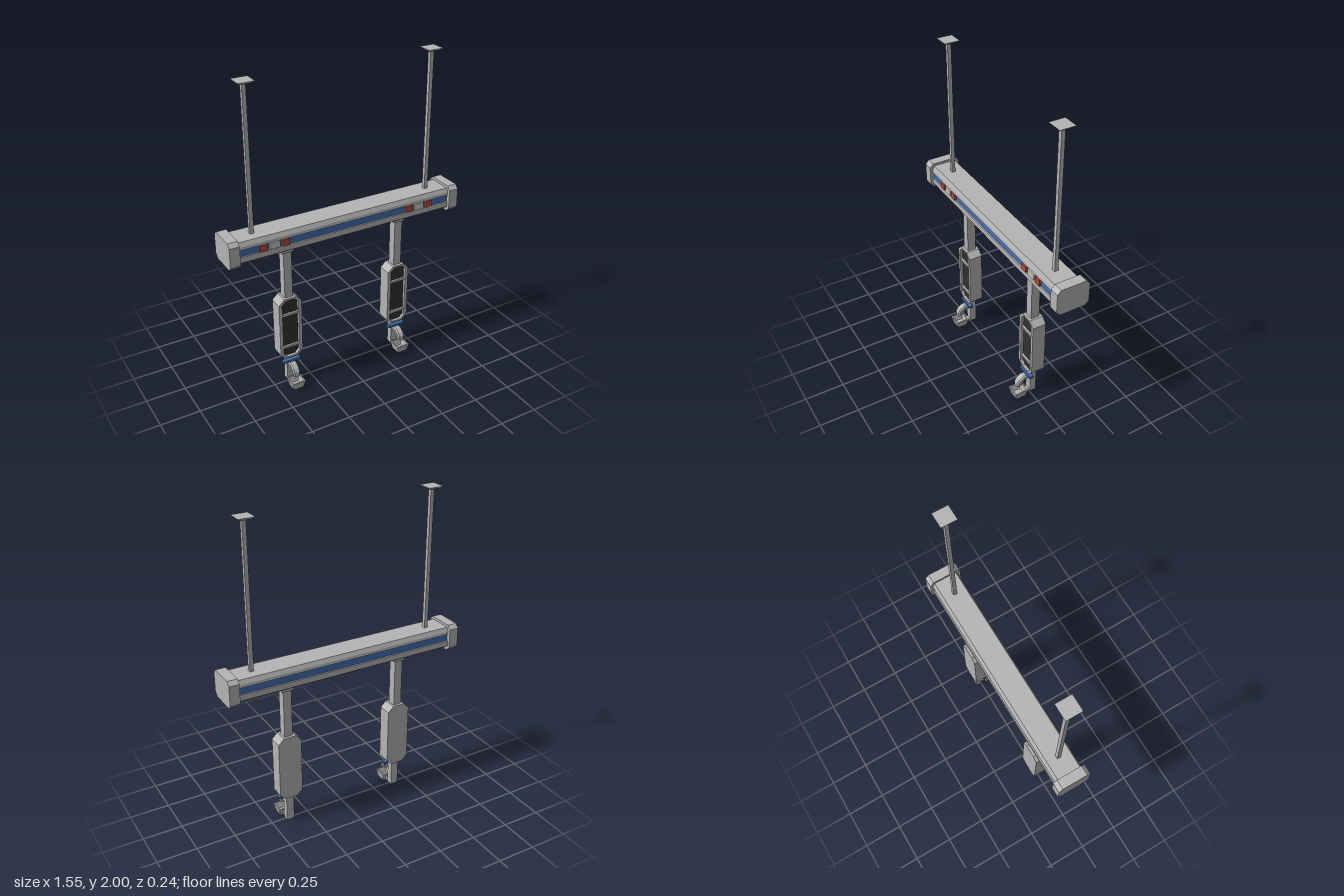
import * as THREE from 'three';

const paint = (name, color) => Object.assign(new THREE.MeshStandardMaterial({ color }), { name });
const Z0 = -0.016; // depth of the beam and pole centre line

export function createModel() {
  const grey = paint('grey metal', 0xb4b4b4);
  const light = paint('light grey', 0xcacac8);
  const blue = paint('blue', 0x416fb4);
  const red = paint('red', 0xb84c3c);
  const dark = paint('dark panel', 0x303030);

  const root = new THREE.Group();
  root.name = 'ceilingSupplyBeam';

  // Adds a mesh with faceted normals
  function add(parent, name, geometry, material, x = 0, y = 0, z = 0) {
    const g = geometry.index ? geometry.toNonIndexed() : geometry;
    g.computeVertexNormals();
    const mesh = new THREE.Mesh(g, material);
    mesh.name = name;
    mesh.position.set(x, y, z);
    parent.add(mesh);
    return mesh;
  }
  const box = (w, h, d) => new THREE.BoxGeometry(w, h, d);

  // Square frustum from half widths at top and bottom
  const frustum = (top, bottom, h) =>
    new THREE.CylinderGeometry(top * Math.SQRT2, bottom * Math.SQRT2, h, 4).rotateY(Math.PI / 4);

  const outline = (pts) => new THREE.Shape(pts.map(([x, y]) => new THREE.Vector2(x, y)));

  // Rectangle with cut corners, given half sizes
  const cutRect = (w, h, c) => [
    [w - c, -h], [w, -h + c], [w, h - c], [w - c, h],
    [-w + c, h], [-w, h - c], [-w, -h + c], [-w + c, -h],
  ];

  // Extrusion centred on its depth
  const slab = (shape, depth) =>
    new THREE.ExtrudeGeometry(shape, { depth, bevelEnabled: false }).translate(0, 0, -depth / 2);

  // Grooved beam, its profile running along x
  const half = [[0.074, 0.969], [0.088, 0.98], [0.088, 1.016], [0.077, 1.016],
    [0.077, 1.06], [0.088, 1.06], [0.086, 1.078], [0.074, 1.104]];
  const profile = [...half, ...half.map(([z, y]) => [-z, y]).reverse()];
  add(root, 'beam', slab(outline(profile), 1.43).rotateY(-Math.PI / 2), grey, 0, 0, Z0);
  for (const s of [1, -1]) {
    add(root, 'blueRail', box(1.428, 0.043, 0.006), blue, 0, 1.038, Z0 + s * 0.077);
  }

  for (const s of [1, -1]) {
    // End caps
    const cap = slab(outline(cutRect(0.105, 0.085, 0.024)), 0.063).rotateY(-Math.PI / 2);
    add(root, 'endCap', cap, grey, s * 0.744, 1.035, Z0);

    // Ceiling poles
    add(root, 'ceilingPole', box(0.024, 0.9, 0.024), grey, s * 0.595, 1.54, Z0);
    add(root, 'ceilingPlate', frustum(0.05, 0.034, 0.014), grey, s * 0.595, 1.993, Z0);

    // Sockets on the front rail
    for (const d of [-0.071, 0.071]) {
      add(root, 'redSocket', box(0.042, 0.041, 0.018), red, s * 0.4925 + d, 1.038, 0.07);
    }
    add(root, 'greySocket', box(0.066, 0.035, 0.016), light, s * 0.4925, 1.038, 0.069);

    root.add(makeArm(s * 0.387));
  }

  function makeArm(x) {
    const arm = new THREE.Group();
    arm.name = 'hangingArm';
    arm.position.x = x;

    add(arm, 'armMount', frustum(0.044, 0.036, 0.04), grey, 0, 0.951, Z0);
    add(arm, 'armShaft', box(0.053, 0.34, 0.057), grey, 0, 0.785, Z0);

    // Housing: solid back and a rim around the recessed panel
    add(arm, 'housingBack', slab(outline(cutRect(0.076, 0.216, 0.036)), 0.066), grey, 0, 0.408, -0.028);
    const rim = outline(cutRect(0.076, 0.216, 0.036));
    rim.holes.push(outline(cutRect(0.055, 0.203, 0.026)));
    add(arm, 'housingRim', slab(rim, 0.024), grey, 0, 0.408, 0.017);
    add(arm, 'darkPanel', slab(outline(cutRect(0.0545, 0.2025, 0.026)), 0.006), dark, 0, 0.408, 0.008);
    for (const y of [0.505, 0.274]) {
      add(arm, 'panelBar', box(0.11, 0.015, 0.016), grey, 0, y, 0.016);
    }

    // Lower bar with lever
    add(arm, 'lowerBar', box(0.05, 0.186, 0.042), grey, 0, 0.107, -0.017);
    add(arm, 'blueLever', box(0.116, 0.016, 0.027), blue, 0, 0.165, 0.015);

    // Bent spout, edges bevelled
    const spout = outline([
      [0, 0.126], [0.036, 0.126], [0.062, 0.104], [0.062, 0.083], [0.094, 0.083],
      [0.094, 0.116], [0.081, 0.137], [0.05, 0.157], [0, 0.157],
    ]);
    const bent = new THREE.ExtrudeGeometry(spout, {
      depth: 0.032, bevelEnabled: true, bevelSegments: 1,
      bevelSize: 0.008, bevelThickness: 0.008, bevelOffset: -0.008,
    }).translate(0, 0, -0.016).rotateY(-Math.PI / 2);
    add(arm, 'spout', bent, grey);

    // Open square cup on a short bracket
    add(arm, 'cupBracket', box(0.036, 0.02, 0.045), grey, 0, 0.019, 0.022);
    const cup = [[0, 0], [0.033, 0], [0.045, 0.051], [0.037, 0.051], [0.026, 0.012], [0, 0.012]]
      .map(([r, y]) => new THREE.Vector2(r * Math.SQRT2, y));
    add(arm, 'cup', new THREE.LatheGeometry(cup, 4).rotateY(Math.PI / 4), grey, 0, 0, 0.075);
    return arm;
  }

  return root;
}
